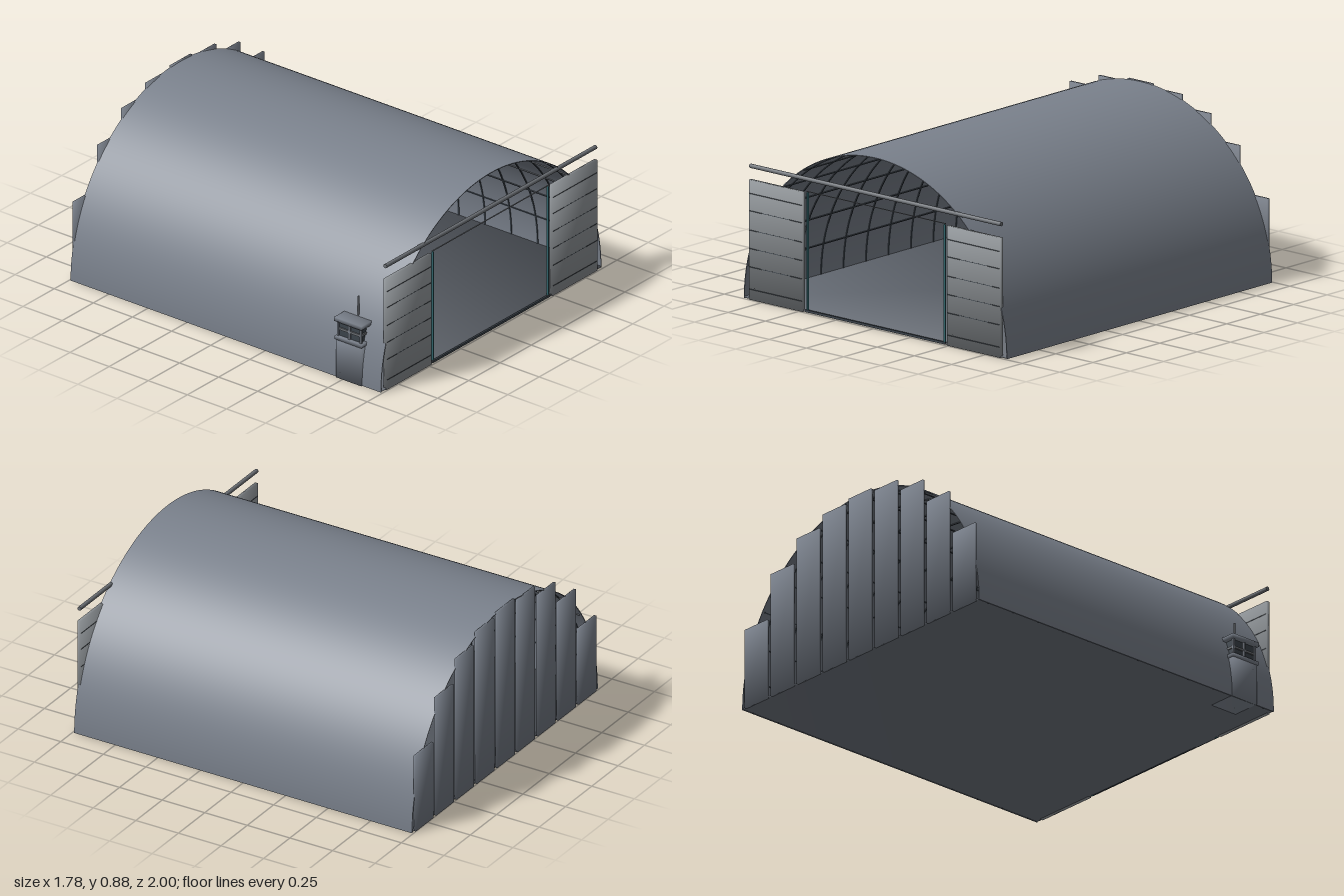
import * as THREE from 'three';
import { toCreasedNormals } from 'three/addons/utils/BufferGeometryUtils.js';

const paint = (color) => new THREE.MeshStandardMaterial({ color, side: THREE.DoubleSide });
const slate = paint(0x7a818c);
const concrete = paint(0x686e77);
const doorGrey = paint(0x93989c);
const steel = paint(0x6c7075);
const silver = paint(0xdadcde);
const teal = paint(0x3f8088);
const dark = paint(0x3c444c);

function add(parent, name, geometry, x, y, z, material) {
  const mesh = new THREE.Mesh(geometry, material);
  mesh.name = name;
  mesh.position.set(x, y, z);
  parent.add(mesh);
  return mesh;
}

const box = (w, h, d) => new THREE.BoxGeometry(w, h, d);

// Box whose normals are shared at each corner, for rounded shading
function softBox(w, h, d) {
  const g = box(w, h, d);
  const p = g.attributes.position;
  const n = new THREE.Vector3();
  for (let i = 0; i < p.count; i++) {
    n.set(Math.sign(p.getX(i)), Math.sign(p.getY(i)), Math.sign(p.getZ(i))).normalize();
    g.attributes.normal.setXYZ(i, n.x, n.y, n.z);
  }
  return g;
}

// Half ring running along z
function archShell(outer, inner, depth) {
  const s = new THREE.Shape();
  s.absarc(0, 0, outer, 0, Math.PI, false);
  s.absarc(0, 0, inner, Math.PI, 0, true);
  const g = new THREE.ExtrudeGeometry(s, { depth, bevelEnabled: false, curveSegments: 48 });
  return toCreasedNormals(g, 0.5);
}

function makePlane() {
  const plane = new THREE.Group();
  plane.name = 'aircraft';

  // Fuselage: lathe profile turned to point along z
  const profile = [[0, -0.2], [0.025, -0.19], [0.042, -0.1], [0.058, 0.02], [0.055, 0.1], [0.035, 0.17], [0, 0.2]]
    .map(([r, z]) => new THREE.Vector2(r, z));
  const body = new THREE.LatheGeometry(new THREE.SplineCurve(profile).getPoints(24), 24);
  body.rotateX(Math.PI / 2).scale(1, 0.68, 1);
  add(plane, 'fuselage', body, 0, 0.07, 0, silver);

  const canopy = new THREE.SphereGeometry(0.04, 16, 10);
  canopy.scale(1, 0.75, 1.8);
  add(plane, 'canopy', canopy, 0, 0.094, 0.07, dark);

  for (const side of [1, -1]) {
    // Swept wing
    const w = new THREE.Shape([[0.03, 0.06], [0.15, -0.04], [0.15, -0.08], [0.03, -0.08]]
      .map(([x, z]) => new THREE.Vector2(x * side, -z)));
    const wing = new THREE.ExtrudeGeometry(w, { depth: 0.006, bevelEnabled: false });
    wing.rotateX(-Math.PI / 2);
    add(plane, 'wing', wing, 0, 0.054, 0, silver);

    add(plane, 'tailFin', box(0.006, 0.055, 0.06), side * 0.036, 0.105, -0.15, silver);
    add(plane, 'tailPlane', box(0.06, 0.005, 0.05), side * 0.04, 0.075, -0.16, silver);
    add(plane, 'landingLeg', box(0.006, 0.04, 0.01), side * 0.035, 0.03, -0.03, steel);
  }
  add(plane, 'noseLeg', box(0.006, 0.04, 0.01), 0, 0.03, 0.12, steel);
  plane.position.z = 0.22;
  return plane;
}

// Square lookout tower set into the side of the roof
function makeLookout() {
  const tower = new THREE.Group();
  tower.name = 'lookoutTower';
  add(tower, 'towerBase', softBox(0.16, 0.22, 0.16), 0, 0.11, 0, slate);
  add(tower, 'towerSill', softBox(0.17, 0.02, 0.17), 0, 0.225, 0, slate);
  add(tower, 'towerGlass', box(0.135, 0.085, 0.135), 0, 0.277, 0, dark);
  add(tower, 'windowBar', box(0.148, 0.012, 0.148), 0, 0.275, 0, steel);
  for (const x of [-0.072, 0, 0.072])
    for (const z of [-0.072, 0, 0.072])
      if (x || z) add(tower, 'towerPost', box(0.01, 0.085, 0.01), x, 0.277, z, slate);
  add(tower, 'towerRoof', softBox(0.175, 0.022, 0.175), 0, 0.328, 0, slate);
  add(tower, 'antenna', new THREE.CylinderGeometry(0.005, 0.005, 0.11, 8), 0, 0.394, 0, steel);
  tower.position.set(-0.8105, 0, 0.79);
  return tower;
}

export function createModel() {
  const model = new THREE.Group();
  const hangar = new THREE.Group();
  hangar.name = 'hangar';
  hangar.position.x = 0.005;
  model.add(hangar);

  // Floor and thin vaulted roof
  add(hangar, 'floor', softBox(1.755, 0.008, 1.98), 0, 0.006, 0, concrete);
  add(hangar, 'roof', archShell(0.883, 0.879, 1.983), 0, 0, -0.993, slate);

  // Arched ribs and lengthwise purlins lining the roof
  for (let i = 0; i < 12; i++)
    add(hangar, 'roofRib', archShell(0.88, 0.875, 0.008), 0, 0, -0.93 + i * 0.168, dark);
  for (let i = 1; i < 16; i++) {
    const a = (i * Math.PI) / 16;
    const purlin = add(hangar, 'purlin', box(0.005, 0.006, 1.96), Math.cos(a) * 0.877, Math.sin(a) * 0.877, 0, dark);
    purlin.rotation.z = a;
  }

  // Rear wall of separate tall panels, stepped to follow the arch
  [0.885, 0.865, 0.8, 0.67, 0.43].forEach((h, i) => {
    for (const side of i ? [1, -1] : [1])
      add(hangar, 'rearPanel', softBox(0.167, h, 0.013), side * i * 0.1935, h / 2, -0.9935, slate);
  });

  // Sliding doors with narrow seams, and the doorway posts
  for (const side of [1, -1]) {
    const door = new THREE.Group();
    door.name = 'slidingDoor';
    add(door, 'doorLeaf', softBox(0.36, 0.62, 0.018), 0, 0.31, 0.986, doorGrey);
    for (const y of [0.055, 0.17, 0.265, 0.36, 0.46, 0.55])
      add(door, 'doorSeam', box(0.35, 0.003, 0.019), 0, y, 0.986, dark);
    door.position.x = side * 0.664;
    hangar.add(door);
    add(hangar, 'doorPost', box(0.008, 0.62, 0.008), side * 0.46, 0.31, 0.984, teal);
  }
  add(hangar, 'doorLintel', box(0.93, 0.003, 0.006), 0, 0.625, 0.984, steel);
  add(hangar, 'doorSill', box(0.94, 0.012, 0.01), 0, 0.008, 0.988, dark);

  // Overhead door rail
  const rail = new THREE.CylinderGeometry(0.011, 0.011, 1.685, 16);
  rail.rotateZ(Math.PI / 2);
  add(hangar, 'doorRail', rail, 0, 0.69, 0.985, steel);

  hangar.add(makePlane(), makeLookout());
  return model;
}
